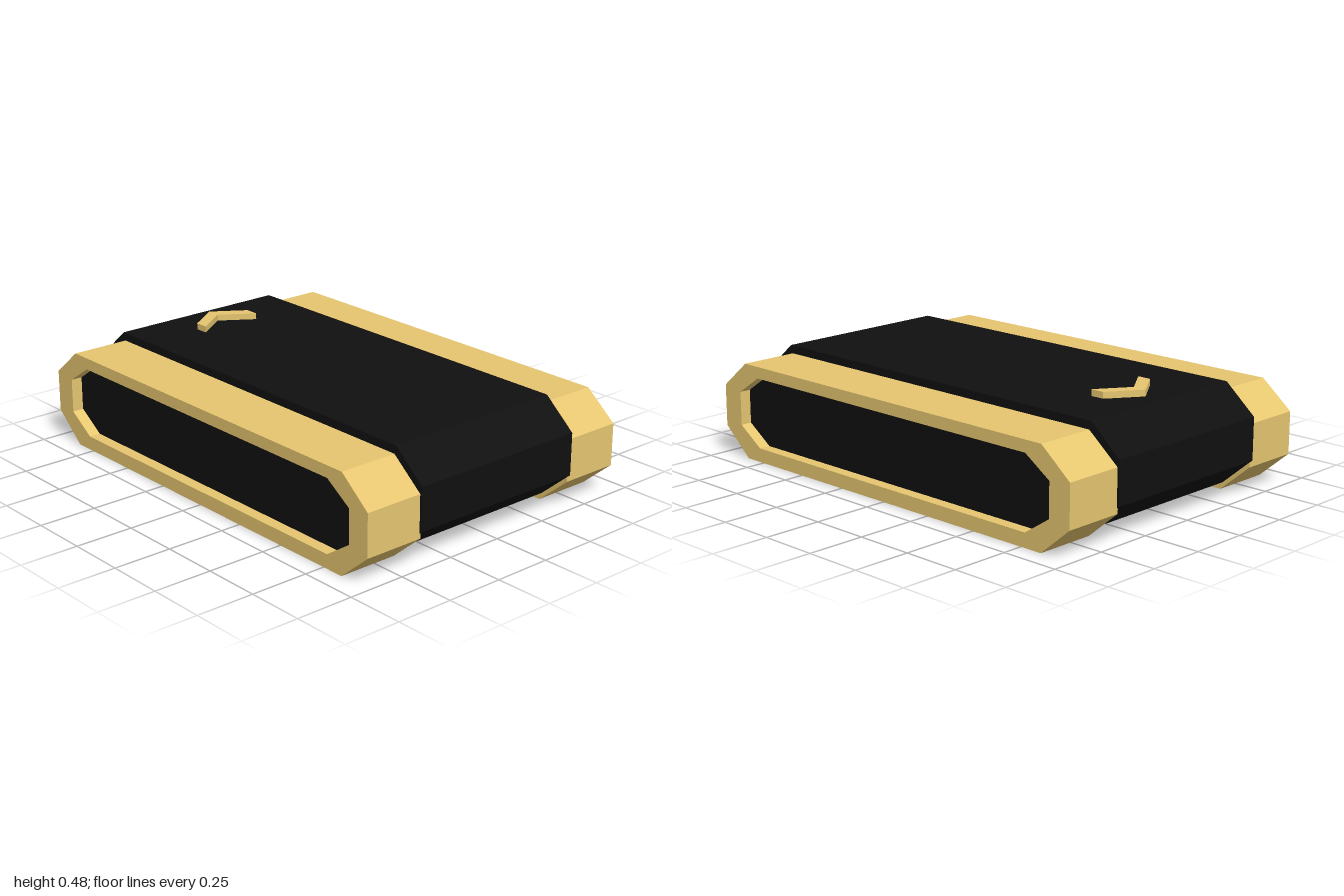
import * as THREE from 'three';

const gold = new THREE.MeshStandardMaterial({ color: 0xe6c670, flatShading: true });
const black = new THREE.MeshStandardMaterial({ color: 0x101010, flatShading: true });

// Chamfered outline: half length, half length of the flat, and four heights
function octagon(zOut, zFlat, y0, y1, y2, y3) {
  return [[zFlat, y0], [zOut, y1], [zOut, y2], [zFlat, y3],
    [-zFlat, y3], [-zOut, y2], [-zOut, y1], [-zFlat, y0]].map(p => new THREE.Vector2(...p));
}

// Extrude a side profile across x, from x0 to x1
function acrossX(name, shape, x0, x1, material) {
  const geometry = new THREE.ExtrudeGeometry(shape, { depth: x1 - x0, bevelEnabled: false });
  geometry.rotateY(Math.PI / 2).translate(x0, 0, 0);
  const mesh = new THREE.Mesh(geometry, material);
  mesh.name = name;
  return mesh;
}

export function createModel() {
  const model = new THREE.Group();
  model.name = 'trackedBase';

  // Central hull
  const hull = new THREE.Shape(octagon(1, 0.86, 0.03, 0.15, 0.33, 0.45));
  model.add(acrossX('hull', hull, -0.405, 0.405, black));

  // Track loops with recessed dark side panels
  const inner = octagon(0.89, 0.77, 0.06, 0.14, 0.285, 0.365);
  const loop = new THREE.Shape(octagon(0.99, 0.85, 0, 0.12, 0.3, 0.415));
  loop.holes.push(new THREE.Path(inner));
  const panel = new THREE.Shape(inner);
  for (const [side, s] of [['left', 1], ['right', -1]]) {
    const span = (a, b) => (s > 0 ? [a, b] : [-b, -a]);
    model.add(acrossX(side + 'Track', loop, ...span(0.4, 0.663), gold));
    model.add(acrossX(side + 'TrackPanel', panel, ...span(0.4, 0.613), black));
  }

  // Raised chevron on the rear deck, pointing backwards
  const chevron = new THREE.Shape([[0, 0.78], [-0.14, 0.685], [-0.14, 0.625],
    [0, 0.72], [0.14, 0.625], [0.14, 0.685]].map(p => new THREE.Vector2(...p)));
  const chevronGeometry = new THREE.ExtrudeGeometry(chevron, { depth: 0.035, bevelEnabled: false });
  chevronGeometry.rotateX(-Math.PI / 2).translate(0, 0.442, 0);
  const marker = new THREE.Mesh(chevronGeometry, gold);
  marker.name = 'chevron';
  model.add(marker);

  return model;
}
